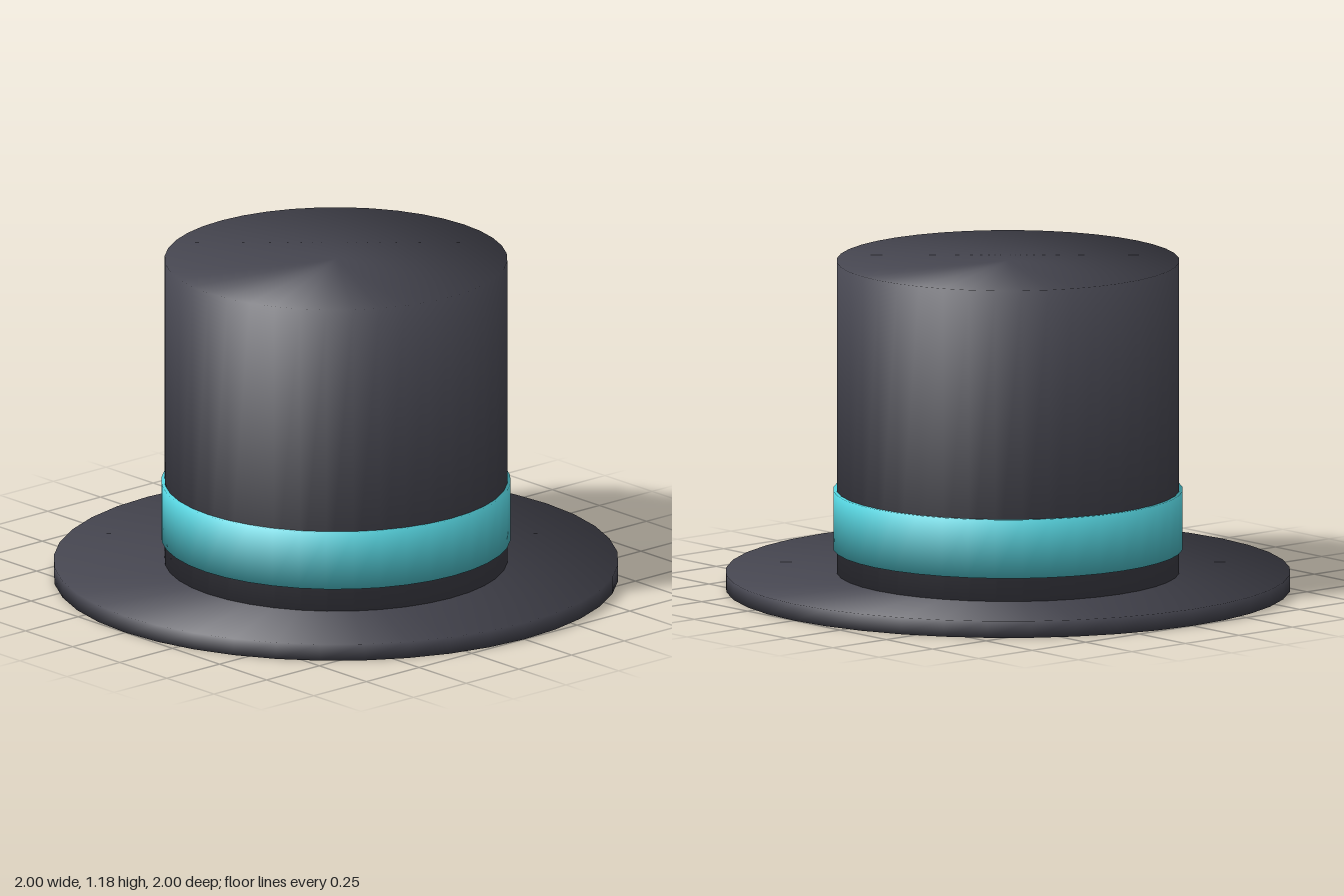
import * as THREE from 'three';

const felt = new THREE.MeshStandardMaterial({ color: 0x45454f });
felt.name = 'charcoal felt';
const ribbon = new THREE.MeshStandardMaterial({ color: 0x53cfda });
ribbon.name = 'turquoise ribbon';

// Closed 40-sided disc whose shading rolls smoothly over the rim
function softCylinder(name, radius, bottom, top, material) {
  const geometry = new THREE.CylinderGeometry(radius, radius, top - bottom, 40);
  const { position, normal } = geometry.attributes;
  for (let i = 0; i < position.count; i++) {
    normal.setXYZ(
      i,
      (position.getX(i) / radius) * Math.SQRT1_2,
      Math.sign(position.getY(i)) * Math.SQRT1_2,
      (position.getZ(i) / radius) * Math.SQRT1_2
    );
  }
  const mesh = new THREE.Mesh(geometry, material);
  mesh.name = name;
  mesh.position.y = (bottom + top) / 2;
  return mesh;
}

export function createModel() {
  const hat = new THREE.Group();
  hat.name = 'topHat';
  hat.add(
    softCylinder('brim', 1, 0, 0.06, felt),
    softCylinder('crown', 0.607, 0.03, 1.177, felt),
    softCylinder('hatBand', 0.619, 0.145, 0.355, ribbon)
  );
  return hat;
}
